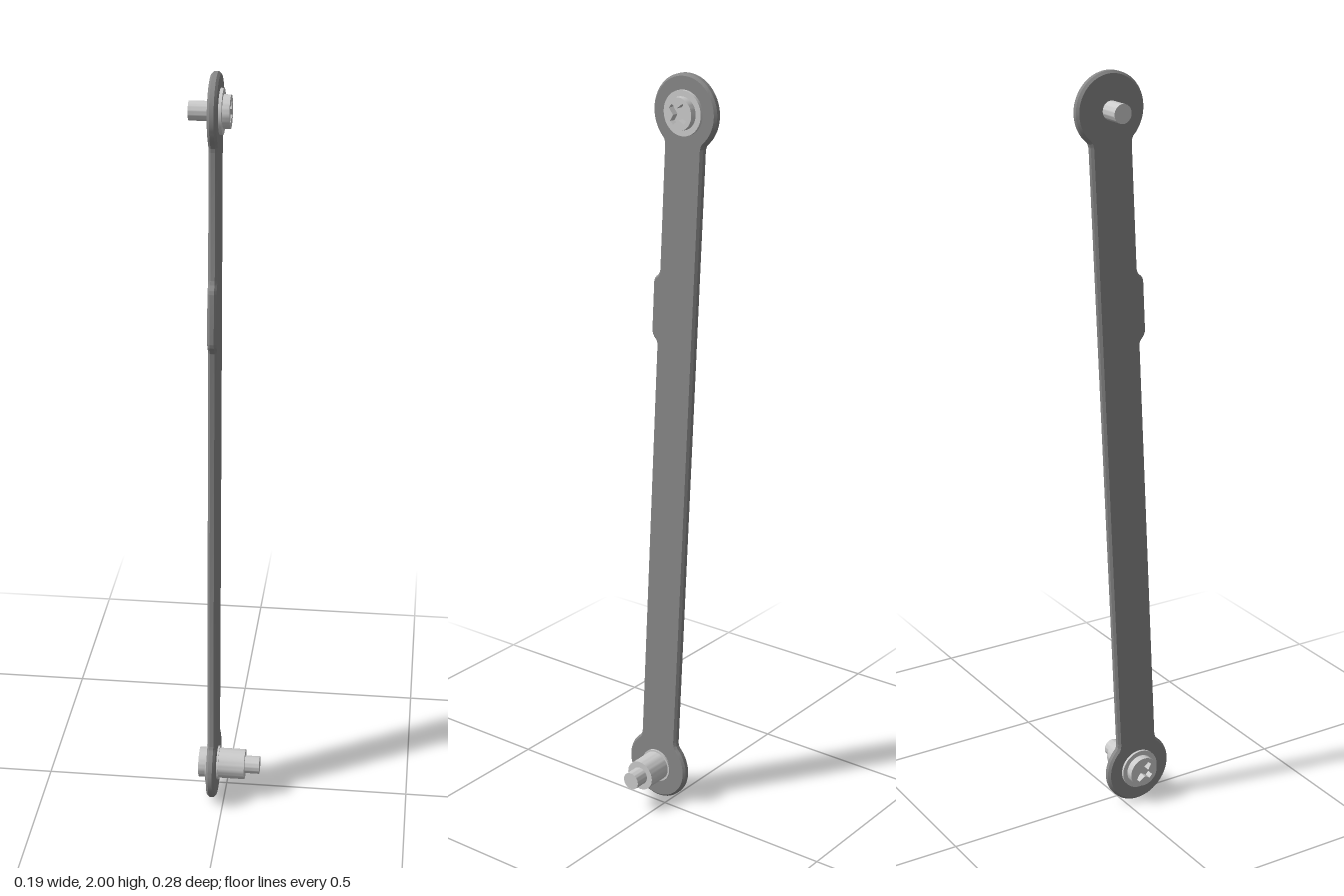
import * as THREE from 'three';
import { toCreasedNormals } from 'three/addons/utils/BufferGeometryUtils.js';

const PIN = new THREE.MeshStandardMaterial({ color: 0xcccccc });
const BAR = new THREE.MeshStandardMaterial({ color: 0x888888 });
const LOW = { y: 0.095, z: 0.043 };
const HIGH = { y: 1.905, z: -0.043 };
const PLATE = [-0.043, -0.02]; // plate thickness along x

function addMesh(parent, name, geometry, material) {
  const mesh = new THREE.Mesh(toCreasedNormals(geometry, 0.5), material);
  mesh.name = name;
  parent.add(mesh);
  return mesh;
}

// Flat bar with round eyes at both ends and a raised pad on one edge
function barGeometry() {
  const len = Math.hypot(HIGH.y - LOW.y, HIGH.z - LOW.z);
  const R = 0.095, w = 0.058, a = 0.76, q = Math.PI / 2;
  const meet = Math.sqrt(R * R - w * w), neck = meet + 0.015;
  const sx = R * Math.sin(a), cy = R * Math.cos(a);
  const s = new THREE.Shape();
  s.absarc(0, 0, R, q + a, 5 * q - a, false);
  s.quadraticCurveTo(w, meet, w, neck);
  s.lineTo(w, len - neck);
  s.quadraticCurveTo(w, len - meet, sx, len - cy);
  s.absarc(0, len, R, a - q, 3 * q - a, false);
  s.quadraticCurveTo(-w, len - meet, -w, len - neck);
  // Edge pad
  s.lineTo(-w, 1.41);
  s.quadraticCurveTo(-w, 1.395, -w - 0.01, 1.388);
  s.quadraticCurveTo(-w - 0.018, 1.38, -w - 0.018, 1.37);
  s.lineTo(-w - 0.018, 1.245);
  s.quadraticCurveTo(-w - 0.018, 1.235, -w - 0.01, 1.225);
  s.quadraticCurveTo(-w, 1.218, -w, 1.205);
  s.lineTo(-w, neck);
  s.quadraticCurveTo(-w, meet, -sx, cy);

  const bevel = 0.006;
  const g = new THREE.ExtrudeGeometry(s, {
    depth: PLATE[1] - PLATE[0] - 2 * bevel, curveSegments: 24,
    bevelThickness: bevel, bevelSize: bevel, bevelOffset: -bevel, bevelSegments: 1,
  });
  g.rotateZ(-Math.atan2(LOW.z - HIGH.z, HIGH.y - LOW.y));
  g.rotateY(Math.PI / 2);
  g.translate(PLATE[0] + bevel, LOW.y, LOW.z);
  return g;
}

// Round section lying along x
function disc(parent, name, at, r, x0, x1) {
  const g = new THREE.CylinderGeometry(r, r, x1 - x0, 40);
  g.rotateZ(-Math.PI / 2);
  g.translate((x0 + x1) / 2, at.y, at.z);
  addMesh(parent, name, g, PIN);
}

// Screw head with a cross-shaped recess, facing dir (+1 or -1) along x
function crossHead(parent, name, at, r, base, height, dir) {
  const s = new THREE.Shape();
  s.absarc(0, 0, r, 0, Math.PI * 2, false);
  const cross = [];
  for (let i = 0; i < 4; i++) {
    const turn = Math.PI / 4 + 0.1 + i * Math.PI / 2;
    for (const [u, v] of [[0.011, -0.009], [0.029, -0.006], [0.029, 0.006]]) {
      cross.push(new THREE.Vector2(u, v).rotateAround(new THREE.Vector2(), turn));
    }
  }
  s.holes.push(new THREE.Path(cross.reverse()));
  const g = new THREE.ExtrudeGeometry(s, { depth: height, bevelEnabled: false, curveSegments: 20 });
  g.rotateY(dir * Math.PI / 2);
  g.translate(base, at.y, at.z);
  addMesh(parent, name, g, PIN);
}

export function createModel() {
  const model = new THREE.Group();
  model.name = 'linkArm';
  addMesh(model, 'bar', barGeometry(), BAR);

  // Upper screw: head on the left side, shank on the right
  const upper = new THREE.Group();
  upper.name = 'upperScrew';
  disc(upper, 'upperShank', HIGH, 0.024, -0.097, -0.03);
  disc(upper, 'upperWasher', HIGH, 0.056, -0.03, -0.012);
  crossHead(upper, 'upperHead', HIGH, 0.041, -0.012, 0.018, 1);

  // Lower screw: head on the right side, spacer and shank on the left
  const lower = new THREE.Group();
  lower.name = 'lowerScrew';
  crossHead(lower, 'lowerHead', LOW, 0.041, -0.05, 0.02, -1);
  disc(lower, 'lowerWasher', LOW, 0.054, -0.05, -0.03);
  disc(lower, 'spacerCollar', LOW, 0.046, -0.03, -0.015);
  disc(lower, 'spacer', LOW, 0.041, -0.015, 0.056);
  disc(lower, 'lowerShank', LOW, 0.024, 0.056, 0.096);

  model.add(upper, lower);
  return model;
}
